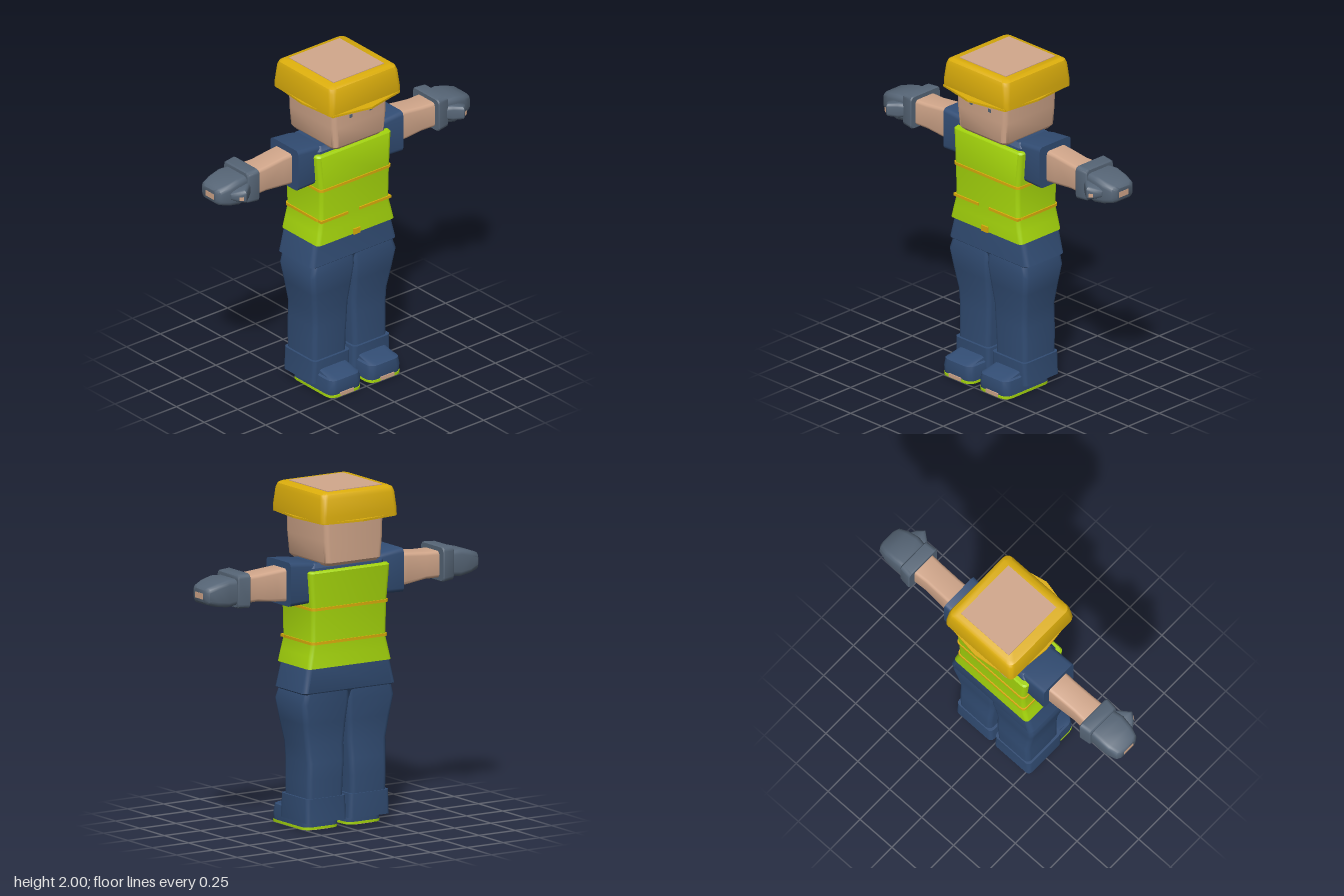
import * as THREE from 'three';
import { toCreasedNormals } from 'three/addons/utils/BufferGeometryUtils.js';

const paint = (name, color) => {
  const m = new THREE.MeshStandardMaterial({ color });
  m.name = name;
  return m;
};

// Points of a rounded rectangle, counter-clockwise in (a, b)
function ring(a0, a1, b0, b1, r) {
  const pts = [];
  const corners = [[a1 - r, b1 - r], [a0 + r, b1 - r], [a0 + r, b0 + r], [a1 - r, b0 + r]];
  corners.forEach(([a, b], q) => {
    for (let k = 0; k <= 3; k++) {
      const t = (q + k / 3) * Math.PI / 2;
      pts.push([a + r * Math.cos(t), b + r * Math.sin(t)]);
    }
  });
  return pts;
}

// Capped loft through sections [t, a0, a1, b0, b1, r].
// axis 'y': t = y, a = x, b = z.  axis 'x': t = x, a = y, b = z.  side -1 mirrors x.
function loft(sections, axis = 'y', side = 1) {
  const place = (t, a, b) => (axis === 'y' ? [a * side, t, b] : [t * side, a, b]);
  const flip = (axis === 'y') !== (side < 0);
  const pos = [], idx = [];
  const tri = (a, b, c) => (flip ? idx.push(a, c, b) : idx.push(a, b, c));
  const n = 16;
  sections.forEach(([t, a0, a1, b0, b1, r = 0.02]) =>
    ring(a0, a1, b0, b1, r).forEach(([a, b]) => pos.push(...place(t, a, b))));
  for (let j = 0; j < sections.length - 1; j++) {
    for (let i = 0; i < n; i++) {
      const k = (i + 1) % n, p = j * n, q = p + n;
      tri(p + i, p + k, q + k);
      tri(p + i, q + k, q + i);
    }
  }
  const last = (sections.length - 1) * n;
  for (let i = 1; i < n - 1; i++) {
    tri(0, i + 1, i);
    tri(last, last + i, last + i + 1);
  }
  const g = new THREE.BufferGeometry();
  g.setAttribute('position', new THREE.Float32BufferAttribute(pos, 3));
  g.setIndex(idx);
  return toCreasedNormals(g, 0.7);
}

export function createModel() {
  const model = new THREE.Group();
  model.name = 'worker';
  const skin = paint('skin', 0xd2a78b);
  const navy = paint('navy cloth', 0x324d74);
  const lime = paint('safety lime', 0xa6d70c);
  const gold = paint('gold', 0xdcae0c);
  const grey = paint('glove grey', 0x566576);

  const add = (name, geometry, material, parent = model) => {
    const mesh = new THREE.Mesh(geometry, material);
    mesh.name = name;
    parent.add(mesh);
    return mesh;
  };
  const box = (name, mat, [w, h, d], [x, y, z], parent) =>
    add(name, new THREE.BoxGeometry(w, h, d), mat, parent).position.set(x, y, z);

  // Head, neck and eyes
  add('head', loft([
    [1.555, -0.175, 0.175, -0.2, 0.175, 0.03],
    [1.575, -0.19, 0.19, -0.218, 0.193, 0.03],
    [1.7, -0.2, 0.2, -0.222, 0.198, 0.03],
    [1.95, -0.205, 0.205, -0.222, 0.198, 0.03],
  ]), skin);
  box('neck', skin, [0.14, 0.08, 0.14], [0, 1.54, -0.01]);
  for (const s of [1, -1]) box('eye', grey, [0.02, 0.02, 0.006], [s * 0.075, 1.753, 0.198]);

  // Hard hat with a pointed brim front and back
  add('hat', loft([
    [1.822, -0.263, 0.263, -0.28, 0.25, 0.03],
    [1.86, -0.262, 0.262, -0.28, 0.252, 0.03],
    [1.96, -0.253, 0.253, -0.272, 0.243, 0.035],
    [1.985, -0.245, 0.245, -0.262, 0.234, 0.035],
    [1.996, -0.225, 0.225, -0.245, 0.215, 0.03],
  ]), gold);
  const brim = new THREE.Shape([
    [-0.25, -0.27], [-0.15, -0.285], [0, -0.305], [0.15, -0.285], [0.25, -0.27], [0.278, 0],
    [0.25, 0.25], [0.17, 0.265], [0, 0.302], [-0.17, 0.265], [-0.25, 0.25], [-0.278, 0],
  ].map(([x, z]) => new THREE.Vector2(x, z)));
  const brimGeo = new THREE.ExtrudeGeometry(brim, { depth: 0.012, bevelEnabled: false });
  brimGeo.rotateX(Math.PI / 2).translate(0, 1.829, 0);
  add('hatBrim', brimGeo, gold);
  box('crownPanel', skin, [0.375, 0.006, 0.4], [0, 1.997, -0.02]);

  // Shirt and vest
  add('shirt', loft([
    [1.2, -0.23, 0.23, -0.15, 0.12],
    [1.54, -0.25, 0.25, -0.15, 0.12],
    [1.565, -0.23, 0.23, -0.13, 0.1],
  ]), navy);
  add('vest', loft([
    [0.958, -0.288, 0.288, -0.176, 0.16, 0.025],
    [1.03, -0.272, 0.272, -0.172, 0.156, 0.025],
    [1.1, -0.256, 0.256, -0.168, 0.15, 0.025],
    [1.3, -0.259, 0.259, -0.174, 0.154, 0.025],
    [1.515, -0.276, 0.276, -0.18, 0.148, 0.025],
    [1.525, -0.268, 0.268, -0.172, 0.14, 0.025],
  ]), lime);
  add('upperStripe', loft([
    [1.297, -0.265, 0.265, -0.181, 0.16, 0.025],
    [1.313, -0.265, 0.265, -0.181, 0.16, 0.025],
  ]), gold);
  // Lower stripe is open at the front closure
  add('lowerStripe', loft([
    [1.097, -0.263, 0.263, -0.175, 0.135, 0.025],
    [1.113, -0.263, 0.263, -0.175, 0.135, 0.025],
  ]), gold);
  box('lowerStripeFrontRight', gold, [0.2, 0.016, 0.03], [-0.16, 1.105, 0.143]);
  box('lowerStripeFrontLeft', gold, [0.235, 0.016, 0.03], [0.1425, 1.105, 0.143]);
  box('buckle', gold, [0.05, 0.036, 0.02], [0, 0.972, 0.157]);

  // Trouser top
  add('hips', loft([
    [0.7, -0.24, 0.24, -0.14, 0.12],
    [0.808, -0.3, 0.3, -0.165, 0.135, 0.03],
    [0.818, -0.318, 0.318, -0.172, 0.143, 0.03],
    [0.97, -0.283, 0.283, -0.168, 0.135, 0.03],
  ]), navy);

  for (const s of [1, -1]) {
    const part = (name, mat, sections, axis = 'y') => add(name, loft(sections, axis, s), mat, limb);
    const sideName = s > 0 ? 'left' : 'right';

    // Leg, cuff and shoe
    let limb = new THREE.Group();
    limb.name = sideName + 'Leg';
    model.add(limb);
    part('trouserLeg', navy, [
      [0.1, 0.03, 0.27, -0.145, 0.11, 0.03],
      [0.3, 0.024, 0.272, -0.152, 0.11, 0.03],
      [0.4, 0.018, 0.27, -0.152, 0.112, 0.03],
      [0.5, 0.014, 0.276, -0.142, 0.115, 0.03],
      [0.63, 0.005, 0.297, -0.152, 0.135, 0.03],
      [0.75, -0.005, 0.315, -0.166, 0.15, 0.03],
      [0.82, -0.005, 0.295, -0.168, 0.14, 0.03],
    ]);
    part('trouserCuff', navy, [
      [0.053, 0.009, 0.288, -0.157, 0.122, 0.025],
      [0.195, 0.013, 0.284, -0.155, 0.125, 0.025],
    ]);
    part('shoe', navy, [
      [0.018, 0.028, 0.264, -0.108, 0.25, 0.045],
      [0.06, 0.028, 0.264, -0.108, 0.256, 0.045],
      [0.108, 0.034, 0.258, -0.108, 0.25, 0.045],
      [0.116, 0.045, 0.247, -0.1, 0.235, 0.04],
      [0.14, 0.05, 0.242, -0.09, 0.12, 0.03],
    ]);
    part('sole', lime, [
      [0.004, 0.026, 0.267, -0.11, 0.256, 0.05],
      [0.019, 0.026, 0.267, -0.11, 0.256, 0.05],
    ]);
    part('soleInset', skin, [
      [0, 0.055, 0.24, -0.1, 0.225, 0.045],
      [0.006, 0.055, 0.24, -0.1, 0.225, 0.045],
    ]);
    box('toePatch', skin, [0.1, 0.022, 0.008], [s * 0.15, 0.017, 0.254], limb);

    // Sleeve, forearm, glove and thumb
    limb = new THREE.Group();
    limb.name = sideName + 'Arm';
    model.add(limb);
    part('sleeve', navy, [
      [0.18, 1.345, 1.56, -0.135, 0.105, 0.025],
      [0.265, 1.335, 1.576, -0.143, 0.108, 0.025],
      [0.39, 1.33, 1.588, -0.143, 0.108, 0.025],
    ], 'x');
    part('forearm', skin, [
      [0.35, 1.352, 1.552, -0.1, 0.052],
      [0.45, 1.36, 1.545, -0.098, 0.05],
      [0.58, 1.375, 1.533, -0.092, 0.055],
      [0.7, 1.375, 1.53, -0.1, 0.06],
    ], 'x');
    part('gloveCuff', grey, [
      [0.665, 1.36, 1.555, -0.138, 0.092, 0.025],
      [0.672, 1.355, 1.56, -0.143, 0.096, 0.025],
      [0.738, 1.36, 1.557, -0.136, 0.088, 0.025],
      [0.745, 1.366, 1.55, -0.13, 0.082, 0.025],
    ], 'x');
    part('gloveHand', grey, [
      [0.72, 1.38, 1.53, -0.12, 0.075, 0.03],
      [0.8, 1.37, 1.532, -0.125, 0.088, 0.03],
      [0.87, 1.38, 1.515, -0.122, 0.08, 0.03],
      [0.925, 1.395, 1.497, -0.11, 0.06, 0.03],
      [0.94, 1.41, 1.482, -0.09, 0.035, 0.025],
    ], 'x');
    part('thumb', grey, [
      [0.72, 1.41, 1.49, 0.02, 0.08],
      [0.76, 1.405, 1.495, 0.02, 0.112],
      [0.81, 1.41, 1.492, 0.03, 0.15],
      [0.845, 1.42, 1.48, 0.04, 0.125],
      [0.87, 1.43, 1.465, 0.04, 0.09, 0.015],
    ], 'x');
    box('fingerPatch', skin, [0.006, 0.034, 0.075], [s * 0.939, 1.443, -0.02], limb);
    const patch = new THREE.Mesh(new THREE.BoxGeometry(0.025, 0.022, 0.006), skin);
    patch.name = 'thumbPatch';
    patch.position.set(s * 0.832, 1.443, 0.135);
    patch.rotation.y = s * 0.62;
    limb.add(patch);
  }
  return model;
}
